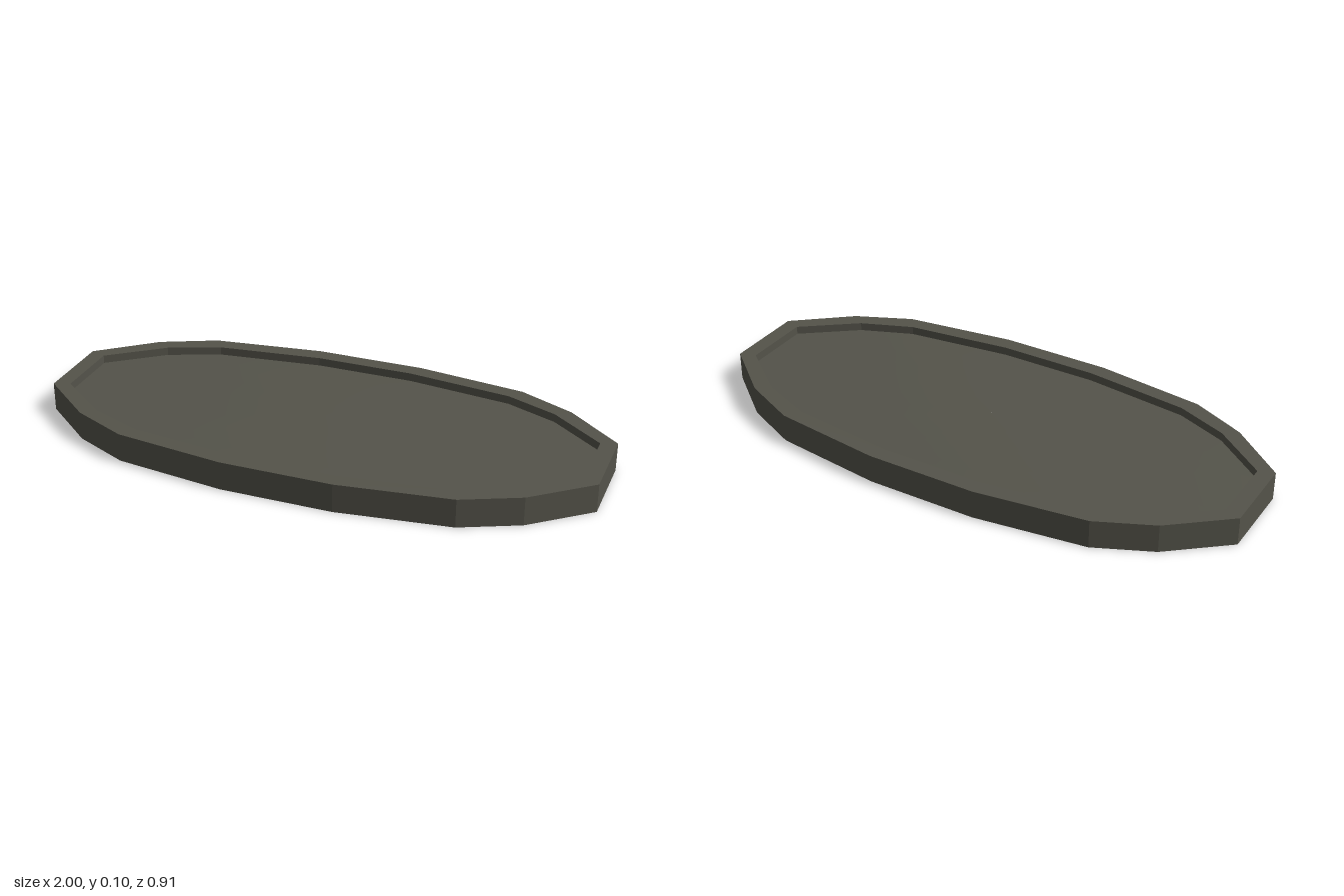
import * as THREE from 'three';

const HEIGHT = 0.103, FLOOR = 0.073, DOME = 0.018;

// One quadrant of each outline, mirrored into a closed 16-sided loop of [x, z]
const OUTER = [[1, 0.146], [0.8, 0.312], [0.6, 0.404], [0.2, 0.457]];
const INNER = [[0.943, 0.126], [0.75, 0.276], [0.563, 0.352], [0.18, 0.399]];

function loop(quarter) {
  const flipped = [...quarter].reverse();
  return [
    ...quarter,
    ...flipped.map(([x, z]) => [-x, z]),
    ...quarter.map(([x, z]) => [-x, -z]),
    ...flipped.map(([x, z]) => [x, -z]),
  ];
}

// Skin between successive rings of points
function skin(rings) {
  const n = rings[0].length, index = [];
  for (let r = 0; r < rings.length - 1; r++) {
    for (let i = 0; i < n; i++) {
      const a = r * n + i, b = r * n + (i + 1) % n;
      index.push(a, a + n, b, b, a + n, b + n);
    }
  }
  const geometry = new THREE.BufferGeometry();
  geometry.setAttribute('position', new THREE.Float32BufferAttribute(rings.flat(2), 3));
  geometry.setIndex(index);
  geometry.computeVertexNormals();
  return geometry;
}

const ring = (points, y, scale = 1) => points.map(([x, z]) => [x * scale, y, z * scale]);

export function createModel() {
  const group = new THREE.Group();
  group.name = 'tray';

  const olive = new THREE.MeshStandardMaterial({ color: 0x54534a });
  olive.name = 'olive grey';
  const black = new THREE.MeshStandardMaterial({ color: 0x1a1a1a });
  black.name = 'black';

  const add = (name, geometry, material) => {
    const mesh = new THREE.Mesh(geometry, material);
    mesh.name = name;
    group.add(mesh);
  };

  const outer = loop(OUTER), inner = loop(INNER);

  // Outer wall, flat rim and inner wall, faceted
  [['outerWall', [ring(outer, 0), ring(outer, HEIGHT)]],
    ['rim', [ring(outer, HEIGHT), ring(inner, HEIGHT)]],
    ['innerWall', [ring(inner, HEIGHT), ring(inner, FLOOR)]],
  ].forEach(([name, rings]) => {
    const geometry = skin(rings).toNonIndexed();
    geometry.computeVertexNormals();
    add(name, geometry, olive);
  });

  // Gently domed floor, smooth
  const floorRings = [1, 0.8, 0.6, 0.4, 0.2, 0.001].map(
    (s) => ring(inner, FLOOR + DOME * (1 - s * s), s));
  add('floor', skin(floorRings), olive);

  // Flat underside
  const base = new THREE.ShapeGeometry(
    new THREE.Shape(outer.map(([x, z]) => new THREE.Vector2(x, z))));
  base.rotateX(Math.PI / 2);
  add('underside', base, black);

  return group;
}
